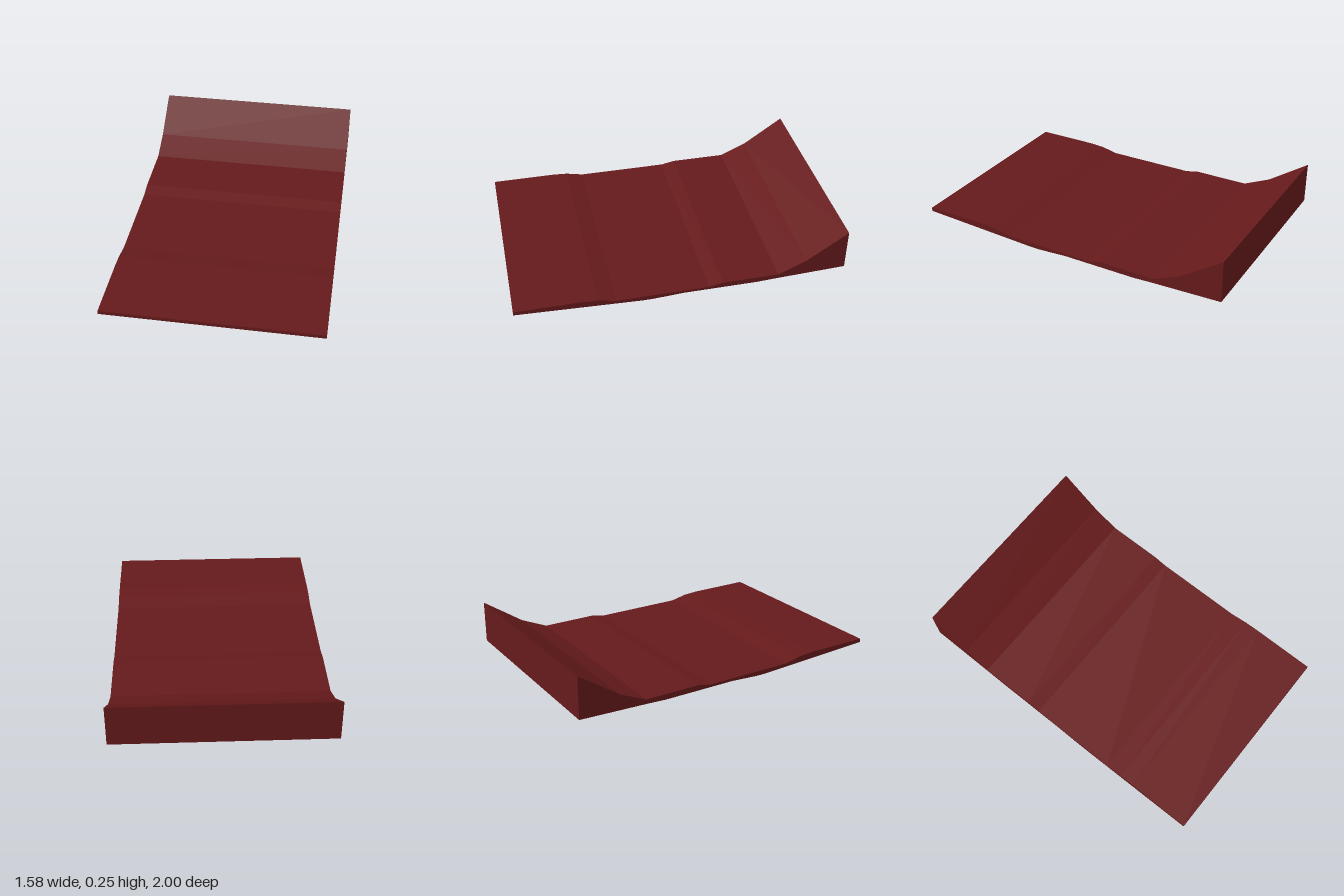
import * as THREE from 'three';

const WIDTH = 1.135;

// Side profile as [distance towards the front end, height]
const topLine = [
  [-0.875, 0.255], [-0.656, 0.105], [-0.51, 0.04], [-0.21, 0.04], [-0.135, 0.025],
  [0.354, 0.025], [0.448, 0.045], [0.53, 0.05], [0.875, 0.05],
];
const bottomLine = [
  [0.875, 0.03], [0.22, 0], [0.16, 0], [0, 0.01], [-0.4, 0.01], [-0.49, 0.015], [-0.875, 0.03],
];

export function createModel() {
  const model = new THREE.Group();
  model.name = 'rampModel';

  // Profile swept across the width; shape x runs towards the back
  const outline = [...topLine, ...bottomLine].map(([s, y]) => new THREE.Vector2(-s, y));
  const geometry = new THREE.ExtrudeGeometry(new THREE.Shape(outline), {
    depth: WIDTH, bevelEnabled: false,
  });
  geometry.translate(0, 0, -WIDTH / 2);
  geometry.rotateY(Math.PI / 2);

  const material = new THREE.MeshStandardMaterial({ color: 0x661a1b, flatShading: true });
  const slab = new THREE.Mesh(geometry, material);
  slab.name = 'rampSlab';
  // The slab lies turned within its frame
  slab.rotation.y = -0.284;
  model.add(slab);
  return model;
}
